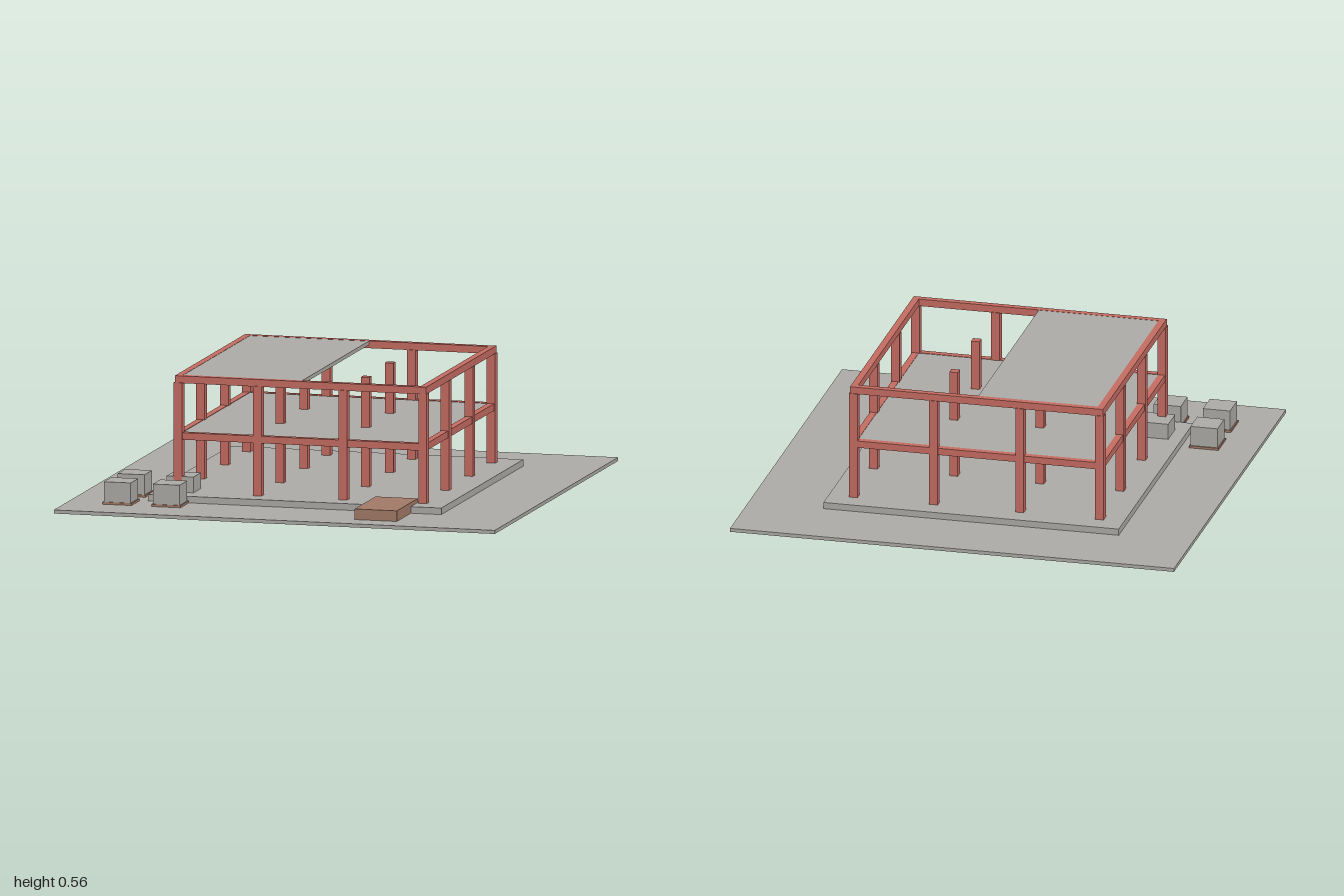
import * as THREE from 'three';

const material = (name, color) => {
  const m = new THREE.MeshStandardMaterial({ color });
  m.name = name;
  return m;
};

export function createModel() {
  const model = new THREE.Group();
  model.name = 'buildingFrame';
  const concrete = material('concrete grey', 0xaeaca8);
  const steel = material('red steel', 0xc66c62);
  const wood = material('brown wood', 0xa27a67);

  // Box given by its lower and upper limits on each axis
  const block = (name, mat, [x0, x1], [y0, y1], [z0, z1], parent = model) => {
    const mesh = new THREE.Mesh(new THREE.BoxGeometry(x1 - x0, y1 - y0, z1 - z0), mat);
    mesh.position.set((x0 + x1) / 2, (y0 + y1) / 2, (z0 + z1) / 2);
    mesh.name = name;
    parent.add(mesh);
  };

  // Ground and foundation
  block('ground', concrete, [-1, 1], [0, 0.016], [-1, 1]);
  block('foundation', concrete, [-0.667, 0.663], [0.016, 0.045], [-0.667, 0.663]);

  // Columns on a four by four grid
  const grid = [-0.557, -0.197, 0.191, 0.552];
  const half = 0.019;
  for (const x of grid) for (const z of grid) {
    block('column', steel, [x - half, x + half], [0.045, 0.53], [z - half, z + half]);
  }

  // Rings of perimeter beams at both levels
  const lo = -0.572, hi = 0.567, w = 0.03;
  for (const [name, y] of [['floorBeam', [0.278, 0.309]], ['roofBeam', [0.528, 0.56]]]) {
    const ring = new THREE.Group();
    ring.name = name + 'Ring';
    model.add(ring);
    for (const side of [[lo, lo + w], [hi - w, hi]]) {
      block(name, steel, [lo, hi], y, side, ring);
      block(name, steel, side, y, [lo + w, hi - w], ring);
    }
  }

  // Upper floor and half-finished roof
  const inside = [lo + w, hi - w];
  block('upperFloor', concrete, inside, [0.291, 0.307], inside);
  block('roofSlab', concrete, [lo + w, -0.003], [0.542, 0.559], inside);

  // Entrance platform
  block('entrancePlatform', wood, [0.333, 0.525], [0.016, 0.063], [0.55, 0.89]);

  // Stacked blocks on pallets
  for (const x of [-0.77, -0.548]) for (const z of [0.508, 0.732]) {
    const load = new THREE.Group();
    load.name = 'palletLoad';
    model.add(load);
    block('pallet', wood, [x - 0.066, x + 0.066], [0.016, 0.026], [z - 0.066, z + 0.066], load);
    block('blockStack', concrete, [x - 0.061, x + 0.061], [0.026, 0.115], [z - 0.061, z + 0.061], load);
  }
  return model;
}
